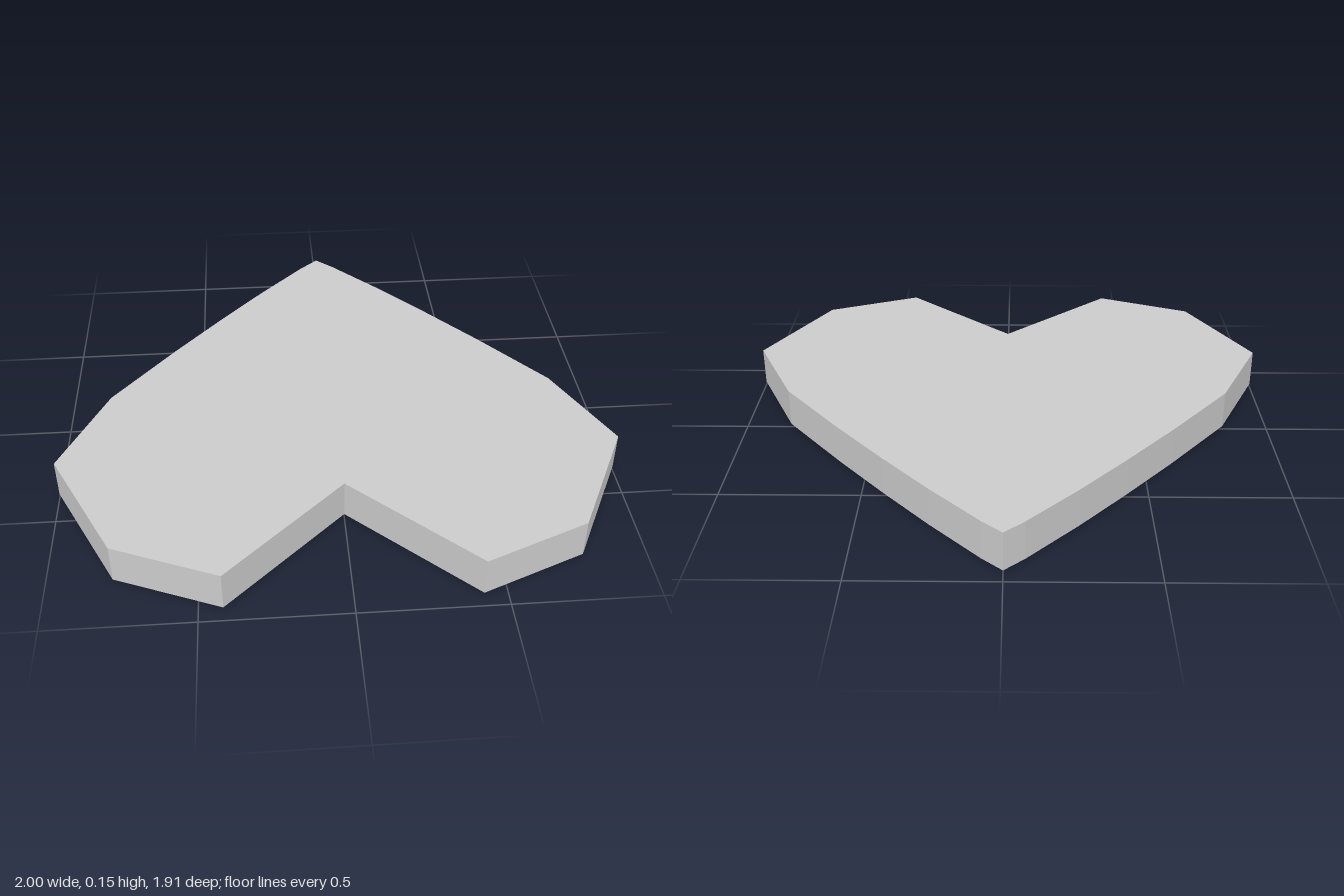
import * as THREE from 'three';

const HEIGHT = 0.153, RIM = 0.012, INSET = 0.03;
const SLOT_DEPTH = 0.03, HOLE_DEPTH = 0.06;

const material = new THREE.MeshStandardMaterial({ color: 0xcccccc, flatShading: true });

// Flat polygon in the xz plane, facing up or down, with an optional hole
function face(points, y, up, hole) {
  const s = up ? -1 : 1;
  const to2D = (ring) => ring.map(([x, z]) => new THREE.Vector2(x, z * s));
  const shape = new THREE.Shape(to2D(points));
  if (hole) shape.holes.push(new THREE.Path(to2D(hole)));
  return new THREE.ShapeGeometry(shape).rotateX((s * Math.PI) / 2).translate(0, y, 0);
}

// Closed wall between a lower and an upper ring (rings run clockwise seen from above)
function band(lower, y0, upper, y1) {
  const pos = [];
  lower.forEach((a, i) => {
    const j = (i + 1) % lower.length;
    const b = lower[j], c = upper[i], d = upper[j];
    pos.push(b[0], y0, b[1], a[0], y0, a[1], c[0], y1, c[1]);
    pos.push(b[0], y0, b[1], c[0], y1, c[1], d[0], y1, d[1]);
  });
  const g = new THREE.BufferGeometry();
  g.setAttribute('position', new THREE.Float32BufferAttribute(pos, 3));
  g.computeVertexNormals();
  return g;
}

// Mitred inward offset of a clockwise ring
function inset(ring, d) {
  const n = ring.length;
  const normal = (a, b) => {
    const dx = b[0] - a[0], dz = b[1] - a[1], l = Math.hypot(dx, dz);
    return [-dz / l, dx / l];
  };
  return ring.map((p, i) => {
    const u = normal(ring[(i + n - 1) % n], p), v = normal(p, ring[(i + 1) % n]);
    const k = d / (1 + u[0] * v[0] + u[1] * v[1]);
    return [p[0] + (u[0] + v[0]) * k, p[1] + (u[1] + v[1]) * k];
  });
}

// Points on the round hole, angle measured from the back
function arc(from, to, steps) {
  return Array.from({ length: steps + 1 }, (_, i) => {
    const t = from + ((to - from) * i) / steps;
    return [0.19 * Math.sin(t), 0.12 - 0.19 * Math.cos(t)];
  });
}

export function createModel() {
  const model = new THREE.Group();
  const add = (parent, name, geometry) => {
    const mesh = new THREE.Mesh(geometry, material);
    mesh.name = name;
    parent.add(mesh);
  };

  // Heart outline: one half mirrored
  const half = [[0.07, -0.893], [0.25, -0.7], [0.42, -0.505], [0.6, -0.29],
    [0.83, 0], [1, 0.37], [0.78, 0.805], [0.42, 0.955]];
  const heart = [[0, -0.957], ...half, [0, 0.55],
    ...half.slice().reverse().map(([x, z]) => [-x, z])];
  const heartBottom = inset(heart, INSET);

  // Keyhole outline: round hole with a slot flaring to the back
  const joint = 0.617;
  const slotEnd = [[-0.18, -0.36], [0.18, -0.36]];
  const keyhole = [...slotEnd, ...arc(joint, 2 * Math.PI - joint, 20)];
  const circle = arc(0, 2 * Math.PI, 24).slice(0, -1);
  const slot = [...slotEnd, ...arc(joint, -joint, 5)];

  // Slab
  const body = new THREE.Group();
  body.name = 'heartBody';
  add(body, 'topFace', face(heart, HEIGHT, true));
  add(body, 'sideWall', band(heart, RIM, heart, HEIGHT));
  add(body, 'bottomBevel', band(heartBottom, 0, heart, RIM));
  add(body, 'bottomFace', face(heartBottom, 0, false, keyhole));
  model.add(body);

  // Hanging recess in the underside, the round part deeper than the slot
  const recess = new THREE.Group();
  recess.name = 'keyholeRecess';
  const outer = keyhole.slice().reverse(), inner = circle.slice().reverse();
  add(recess, 'keyholeWall', band(outer, 0, outer, SLOT_DEPTH));
  add(recess, 'slotCeiling', face(slot, SLOT_DEPTH, false));
  add(recess, 'roundHoleWall', band(inner, SLOT_DEPTH, inner, HOLE_DEPTH));
  add(recess, 'roundHoleCeiling', face(circle, HOLE_DEPTH, false));
  model.add(recess);

  return model;
}
